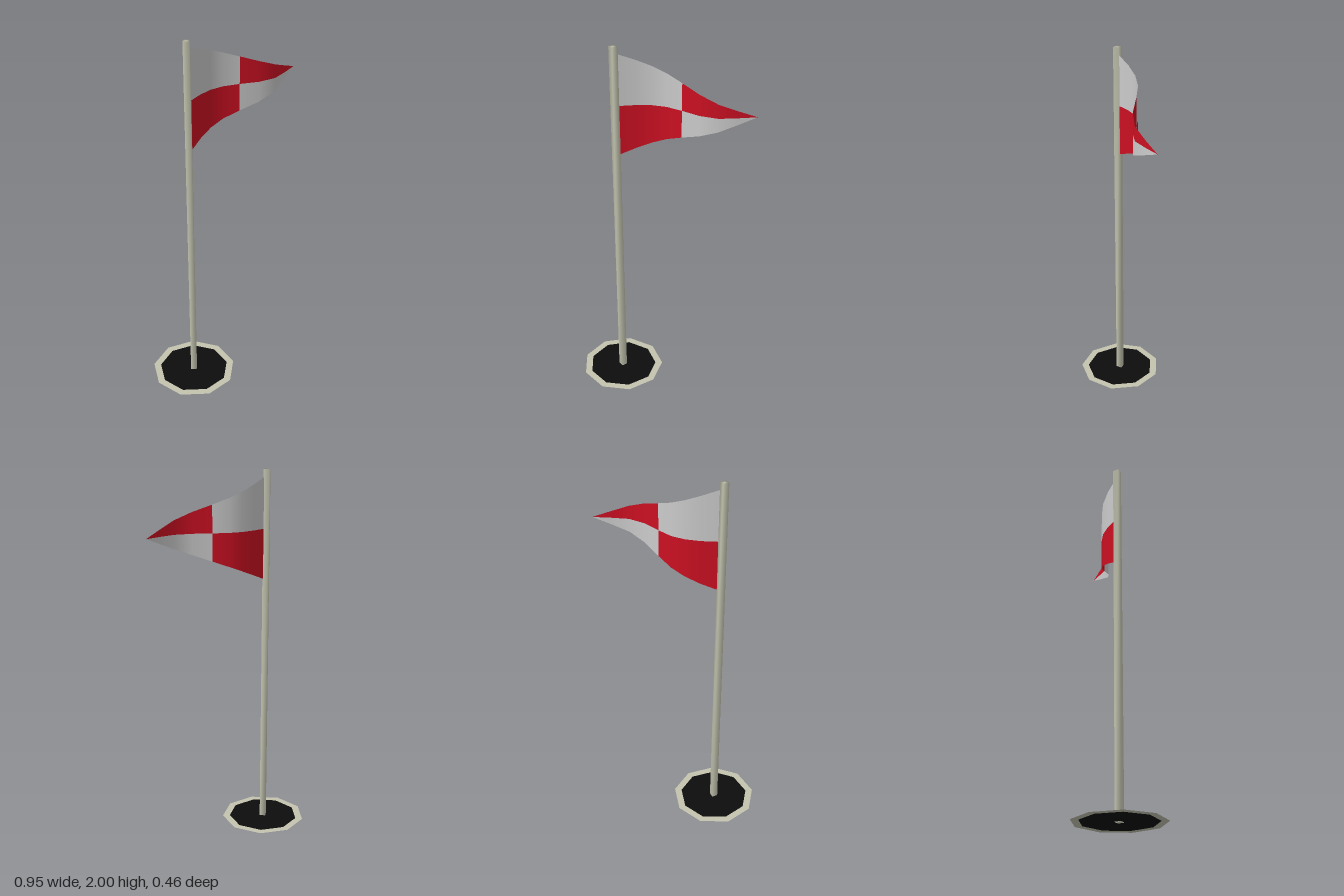
import * as THREE from 'three';
import { mergeVertices } from 'three/addons/utils/BufferGeometryUtils.js';

const POLE_X = -0.243, POLE_Z = 0.006, MID_Y = 1.69;

function material(color, side = THREE.FrontSide) {
  return new THREE.MeshStandardMaterial({ color, side });
}

function part(name, geometry, mat) {
  const mesh = new THREE.Mesh(geometry, mat);
  mesh.name = name;
  return mesh;
}

// Wave of the cloth as seen from above: [x, z] from pole to tip
const WAVE = [
  [-0.222, 0.003], [-0.14, -0.021], [-0.06, -0.031], [0.015, -0.021], [0.097, 0.015],
  [0.19, 0.063], [0.285, 0.083], [0.38, 0.062], [0.473, 0.036],
];
const LAST = WAVE.length - 1;

// One quarter of the pennant: columns from..to, above (sign 1) or below (sign -1) the middle line
function pennantPanel(from, to, sign) {
  const positions = [], normals = [], index = [];
  for (let i = from; i <= to; i++) {
    const [x, z] = WAVE[i];
    const a = WAVE[Math.max(i - 1, 0)], b = WAVE[Math.min(i + 1, LAST)];
    const normal = new THREE.Vector3(a[1] - b[1], 0, b[0] - a[0]).normalize();
    const half = 0.27 * (WAVE[LAST][0] - x) / (WAVE[LAST][0] - WAVE[0][0]);
    const ys = sign > 0 ? [MID_Y, MID_Y + half] : [MID_Y - half, MID_Y];
    for (const y of ys) {
      positions.push(x, y, z);
      normals.push(normal.x, normal.y, normal.z);
    }
    if (i < to) {
      const k = (i - from) * 2;
      // the tip column collapses to a point, so it takes one triangle
      index.push(k, k + 2, k + 1);
      if (i + 1 < LAST) index.push(k + 2, k + 3, k + 1);
    }
  }
  const geometry = new THREE.BufferGeometry();
  geometry.setAttribute('position', new THREE.Float32BufferAttribute(positions, 3));
  geometry.setAttribute('normal', new THREE.Float32BufferAttribute(normals, 3));
  geometry.setIndex(index);
  return geometry;
}

export function createModel() {
  const model = new THREE.Group();
  model.name = 'golfFlag';
  const beige = 0xc4c4b0;

  // Four-sided pole with softly shaded edges
  let poleGeometry = new THREE.CylinderGeometry(0.023, 0.023, 2, 4);
  poleGeometry.deleteAttribute('normal');
  poleGeometry.deleteAttribute('uv');
  poleGeometry = mergeVertices(poleGeometry);
  poleGeometry.computeVertexNormals();
  const pole = part('pole', poleGeometry, material(beige));
  pole.position.set(POLE_X, 1, POLE_Z);
  model.add(pole);

  // Flat nine-sided hole and its rim, one corner pointing back
  const hole = part('hole', new THREE.CircleGeometry(0.196, 9, Math.PI / 2),
    material(0x0d0d0d, THREE.DoubleSide));
  const rim = part('holeRim', new THREE.RingGeometry(0.196, 0.236, 9, 1, Math.PI / 2),
    material(beige, THREE.DoubleSide));
  for (const mesh of [hole, rim]) {
    mesh.rotation.x = -Math.PI / 2;
    mesh.position.set(POLE_X, 0.002, POLE_Z);
    model.add(mesh);
  }

  // Waving pennant in four alternating panels
  const white = material(0xcccccc, THREE.DoubleSide);
  const red = material(0xcc1022, THREE.DoubleSide);
  const pennant = new THREE.Group();
  pennant.name = 'pennant';
  pennant.add(
    part('upperInnerPanel', pennantPanel(0, 4, 1), white),
    part('lowerInnerPanel', pennantPanel(0, 4, -1), red),
    part('upperOuterPanel', pennantPanel(4, LAST, 1), red),
    part('lowerOuterPanel', pennantPanel(4, LAST, -1), white),
  );
  model.add(pennant);
  return model;
}
